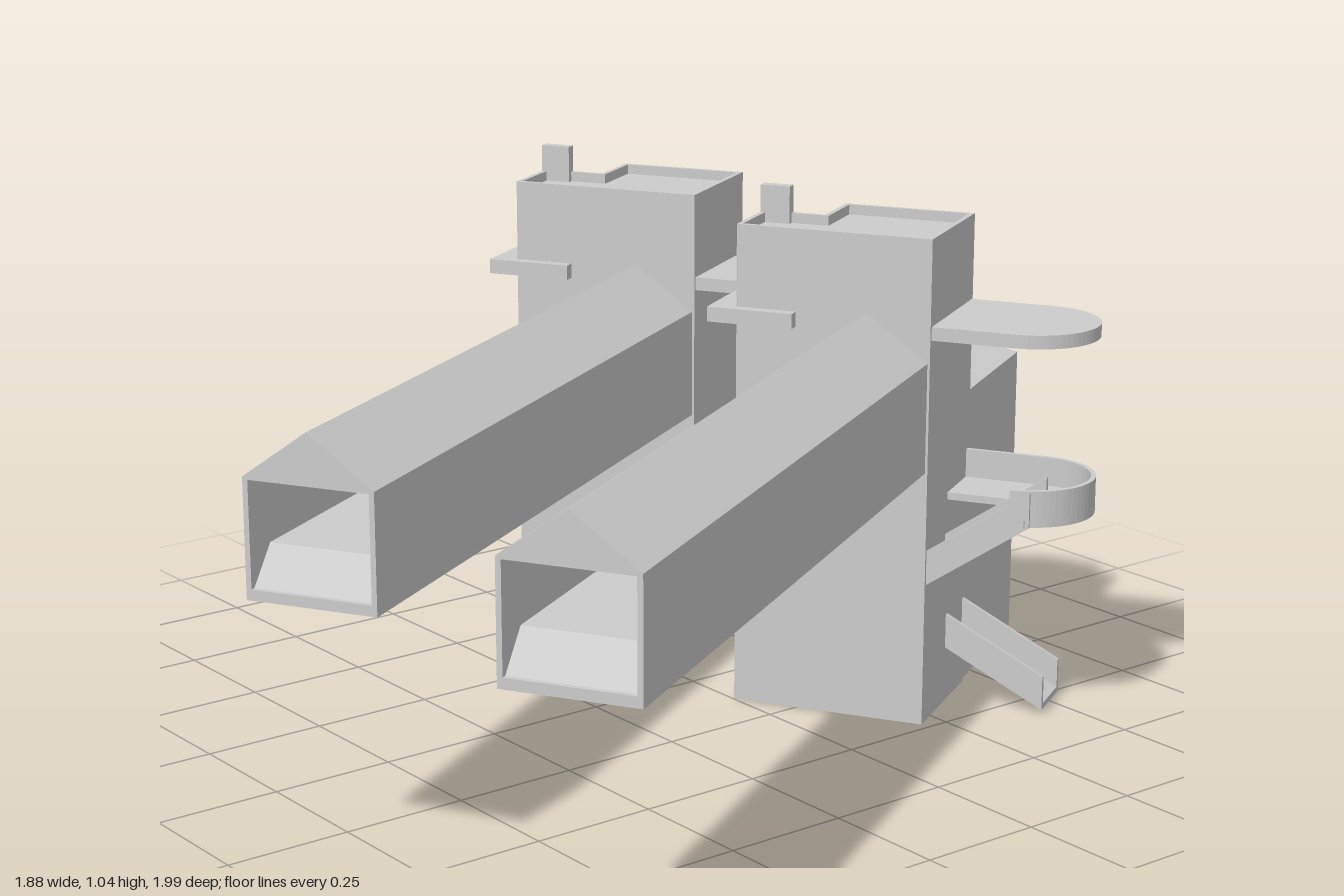
import * as THREE from 'three';
import { mergeGeometries } from 'three/addons/utils/BufferGeometryUtils.js';

const grey = new THREE.MeshStandardMaterial({ color: 0xcccccc, flatShading: true, side: THREE.DoubleSide });
grey.name = 'plain grey';

// Key lines of one unit, in its own frame (x across, z along the tunnel)
const T = { left: -0.56, right: -0.16, back: -0.795, front: -0.518, notchX: -0.43, notchZ: -0.67, top: 0.985 };
const HALL_X = -0.29, HALL_W = 0.25;

function add(parent, name, geometry) {
  const mesh = new THREE.Mesh(geometry, grey);
  mesh.name = name;
  parent.add(mesh);
  return mesh;
}

// Box given by its limits
function box(x0, x1, y0, y1, z0, z1) {
  return new THREE.BoxGeometry(x1 - x0, y1 - y0, z1 - z0)
    .translate((x0 + x1) / 2, (y0 + y1) / 2, (z0 + z1) / 2);
}

function polygon(points) {
  return new THREE.Shape(points.map(([x, y]) => new THREE.Vector2(x, y)));
}

// Plan outline (x, z) raised from y0 to y1
function raise(shape, y0, y1) {
  return new THREE.ExtrudeGeometry(shape, { depth: y1 - y0, bevelEnabled: false, curveSegments: 16 })
    .rotateX(-Math.PI / 2).translate(0, y0, 0);
}

// Section (x, y) pushed along z
function push(shape, z0, z1) {
  return new THREE.ExtrudeGeometry(shape, { depth: z1 - z0, bevelEnabled: false }).translate(0, 0, z0);
}

// L-shaped tower plan, shrunk by t
function towerPlan(t) {
  return [
    [T.left + t, -T.front + t], [T.right - t, -T.front + t], [T.right - t, -T.back - t],
    [T.notchX + t, -T.back - t], [T.notchX + t, -T.notchZ - t], [T.left + t, -T.notchZ - t],
  ];
}

// Gabled section, shrunk by t
function gable(y0, eave, ridge, t) {
  const w = HALL_W / 2 - t;
  return [
    [HALL_X - w, y0 + t], [HALL_X + w, y0 + t], [HALL_X + w, eave - t * 0.6],
    [HALL_X, ridge - t], [HALL_X - w, eave - t * 0.6],
  ];
}

function hall(y0, eave, ridge, z0, z1) {
  const shape = polygon(gable(y0, eave, ridge, 0));
  shape.holes.push(polygon(gable(y0, eave, ridge, 0.01)));
  return push(shape, z0, z1);
}

// Sloping trough with a floor and two side walls
function trough(x0, y0, x1, y1, z0, z1) {
  const slab = (h, a, b) => push(polygon([[x0, y0], [x1, y1], [x1, y1 + h], [x0, y0 + h]]), a, b);
  return mergeGeometries([slab(0.012, z0, z1), slab(0.07, z0, z0 + 0.01), slab(0.07, z1 - 0.01, z1)]);
}

// Spiral of narrow treads in the tower notch
function spiral() {
  const treads = [], pitch = 0.31, turns = 2.5, perTurn = 30;
  const count = Math.round(turns * perTurn), end = Math.PI / 4;
  for (let i = 0; i <= count; i++) {
    const angle = end + ((count - i) / perTurn) * Math.PI * 2;
    treads.push(new THREE.BoxGeometry(0.035, 0.032, 0.015)
      .translate(0.0525, 0, 0).rotateY(-angle)
      .translate(-0.524, 0.017 + (i / perTurn) * pitch, -0.742));
  }
  return mergeGeometries(treads);
}

function buildUnit() {
  const unit = new THREE.Group();

  // Tower with a thin parapet and a corner tab
  add(unit, 'tower', raise(polygon(towerPlan(0)), 0, T.top - 0.02));
  const rim = polygon(towerPlan(0));
  rim.holes.push(polygon(towerPlan(0.01)));
  add(unit, 'parapet', raise(rim, T.top - 0.02, T.top));
  add(unit, 'cornerTab', box(T.left, T.left + 0.062, T.top - 0.02, 1.04, T.notchZ, T.notchZ + 0.022));

  // Long raised hall, open below the front gable
  const front = 0.909;
  add(unit, 'longHall', hall(0.52, 0.74, 0.83, T.front, front - 0.01));
  const end = polygon(gable(0.52, 0.74, 0.83, 0));
  const l = HALL_X - 0.115, r = HALL_X + 0.115;
  end.holes.push(polygon([[l, 0.54], [r, 0.54], [r, 0.735], [l, 0.735]]));
  add(unit, 'hallFrontFrame', push(end, front - 0.01, front));
  const ramp = push(polygon([[-front + 0.01, 0.53], [0.4, 0.53], [0.4, 0.605], [-front + 0.07, 0.605], [-front + 0.01, 0.54]]),
    l, r).rotateY(Math.PI / 2);
  add(unit, 'hallFloor', ramp);

  // Rear hall, open at the back
  add(unit, 'rearHall', hall(0, 0.62, 0.648, -1.154, T.back));

  // Corner balcony and rounded balcony
  add(unit, 'cornerBalcony', box(-0.613, -0.436, 0.79, 0.82, -0.648, -0.494));
  const zb = -0.789, zf = -0.525, zm = (zb + zf) / 2, rad = (zf - zb) / 2, cx = 0.005;
  const deck = new THREE.Shape();
  deck.moveTo(T.right, -zf);
  deck.lineTo(cx, -zf);
  deck.absarc(cx, -zm, rad, -Math.PI / 2, Math.PI / 2, false);
  deck.lineTo(T.right, -zb);
  add(unit, 'roundBalcony', raise(deck, 0.785, 0.812));

  // U-turn landing with a rail, and its ramp back to the tower
  const floor = new THREE.Shape();
  floor.moveTo(T.right, -zm);
  floor.lineTo(cx + 0.03, -zm);
  floor.lineTo(cx + 0.03, -zf - 0.003);
  floor.absarc(cx, -zm, rad, -1.3, Math.PI / 2, false);
  floor.lineTo(T.right, -zb);
  add(unit, 'landingFloor', raise(floor, 0.43, 0.445));
  const rail = new THREE.Shape();
  rail.moveTo(cx, -zf);
  rail.absarc(cx, -zm, rad, -Math.PI / 2, Math.PI / 2, false);
  rail.lineTo(T.right, -zb);
  rail.lineTo(T.right, -zb - 0.01);
  rail.lineTo(cx, -zb - 0.01);
  rail.absarc(cx, -zm, rad - 0.01, Math.PI / 2, -Math.PI / 2, true);
  add(unit, 'landingRail', raise(rail, 0.43, 0.503));
  add(unit, 'landingRamp', trough(T.right, 0.29, cx + 0.04, 0.43, zm, zf));

  // Ground slide and spiral with its entry step
  add(unit, 'groundSlide', trough(T.right, 0.115, 0.045, 0.008, zb, -0.666));
  add(unit, 'spiralSlide', spiral());
  add(unit, 'spiralEntry', box(-0.484, T.notchX, 0.765, 0.795, -0.735, T.notchZ));
  return unit;
}

export function createModel() {
  const model = new THREE.Group();
  model.name = 'twinTowers';
  // Two equal units, turned thirty degrees
  [[0, 0], [0.628, -0.083]].forEach(([x, z], i) => {
    const unit = buildUnit();
    unit.name = i ? 'leftUnit' : 'rightUnit';
    unit.rotation.y = Math.PI / 6;
    unit.position.set(x, 0, z);
    model.add(unit);
  });
  return model;
}
